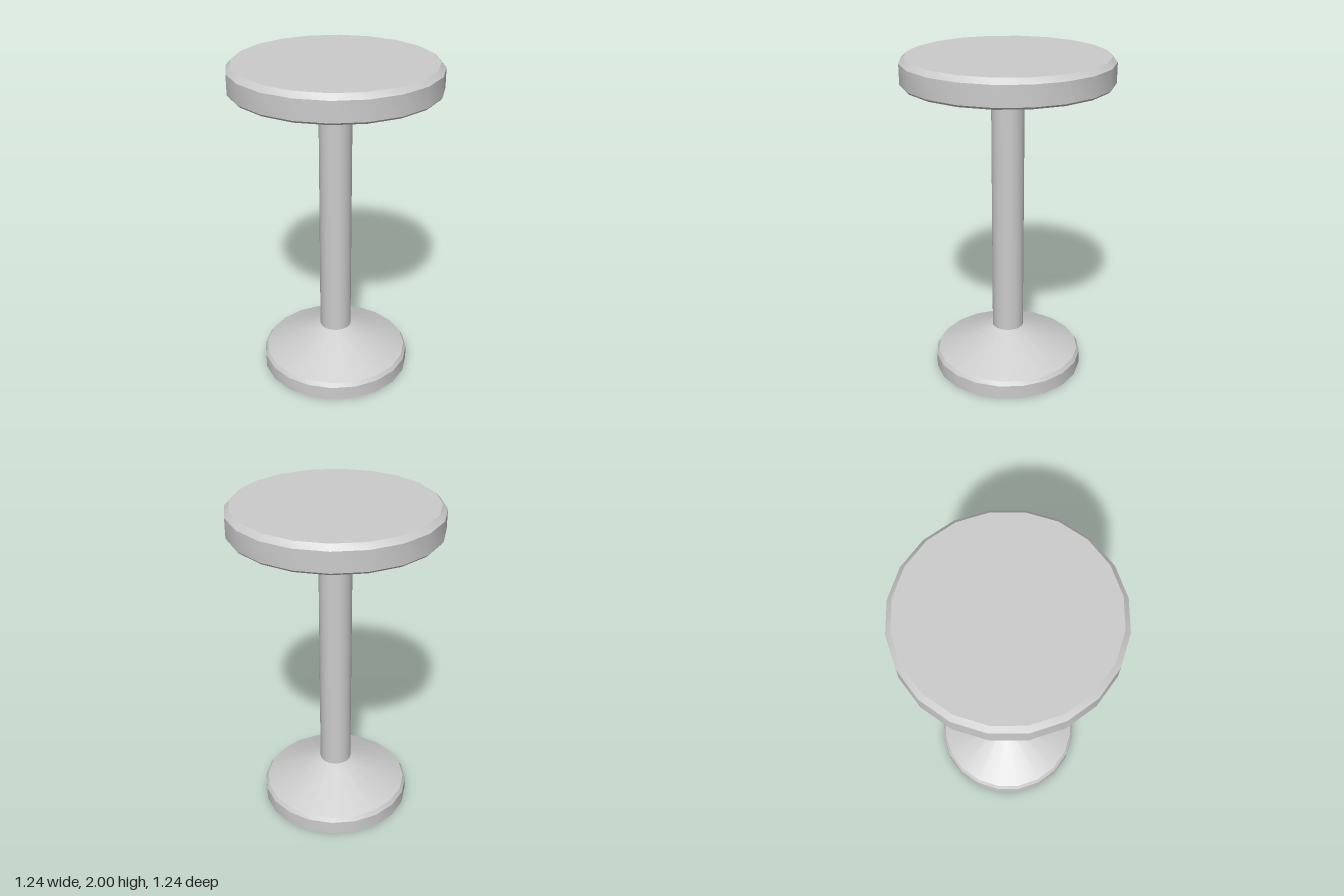
import * as THREE from 'three';
import { toCreasedNormals } from 'three/addons/utils/BufferGeometryUtils.js';

const SIDES = 20;

// Turns a bottom-to-top [radius, height] profile into a named part with crisp rims.
function turned(name, profile, side = THREE.FrontSide) {
  const points = profile.map(([r, y]) => new THREE.Vector2(r, y));
  const geometry = toCreasedNormals(new THREE.LatheGeometry(points, SIDES), 0.42);
  const material = new THREE.MeshStandardMaterial({ color: 0xcccccc, side });
  const mesh = new THREE.Mesh(geometry, material);
  mesh.name = name;
  return mesh;
}

export function createModel() {
  const stool = new THREE.Group();
  stool.name = 'stool';

  // Hollow flared foot, open underneath
  stool.add(turned('base', [
    [0.463, 0], [0.463, 0.085], [0.447, 0.11], [0.098, 0.265],
  ], THREE.DoubleSide));

  // Open tube between foot and seat
  stool.add(turned('post', [[0.098, 0.265], [0.098, 1.842]], THREE.DoubleSide));

  // Solid round seat with bevelled rims
  stool.add(turned('seat', [
    [0, 1.84], [0.61, 1.84], [0.62, 1.852], [0.62, 1.97], [0.59, 2], [0, 2],
  ]));

  return stool;
}
